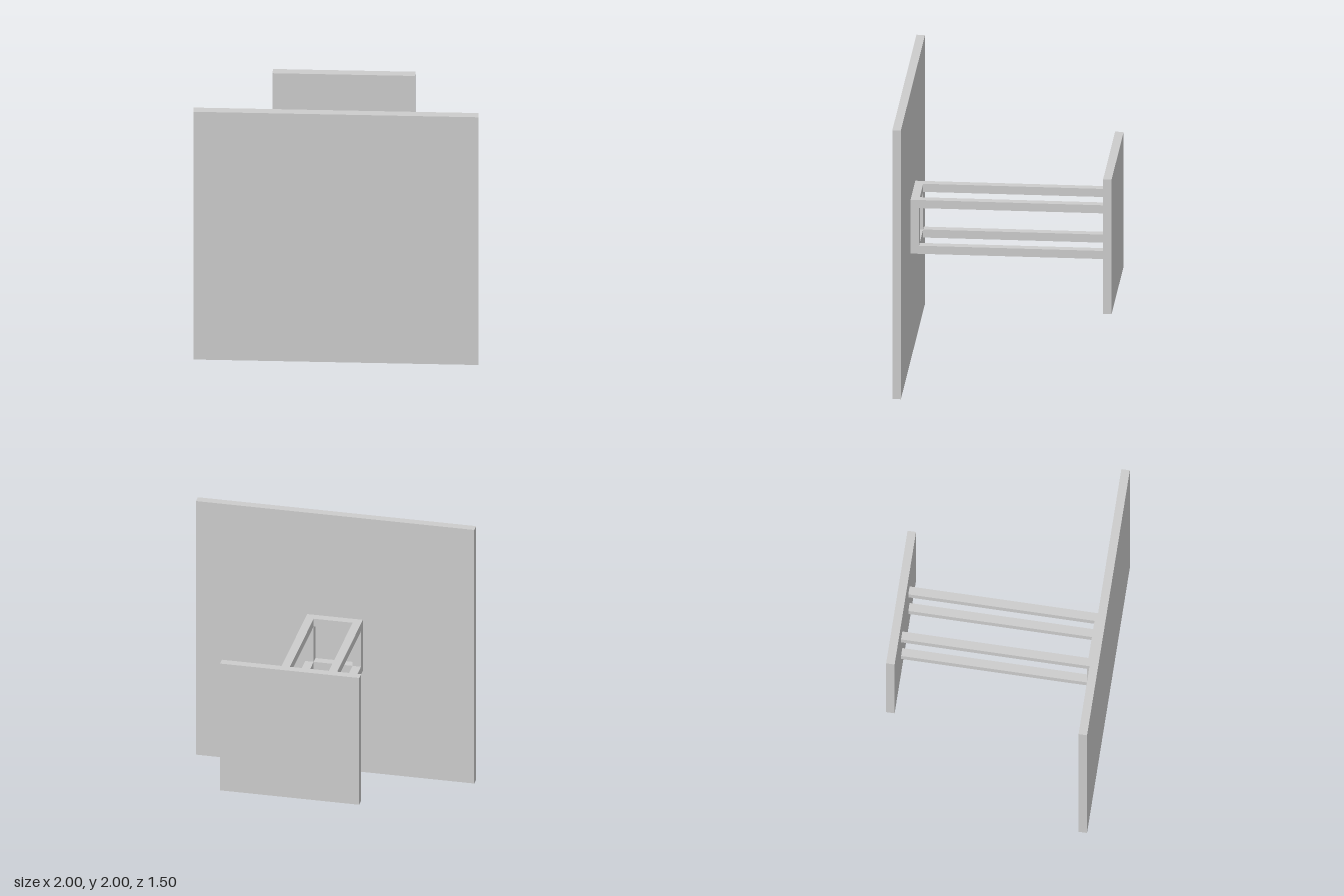
import * as THREE from 'three';

const T = 0.06;        // thickness of panels and bars
const DEPTH = 1.5;     // overall depth
const FRAME = 0.4;     // outer size of the connecting frame
const MID = 1;         // height of the common centre

export function createModel() {
  const model = new THREE.Group();
  const material = new THREE.MeshStandardMaterial({ color: 0xcccccc, flatShading: true });

  const add = (name, geometry, x, y, z) => {
    const mesh = new THREE.Mesh(geometry, material);
    mesh.name = name;
    mesh.position.set(x, y, z);
    model.add(mesh);
  };

  // Large front panel and small back panel
  const panelZ = DEPTH / 2 - T / 2;
  add('frontPanel', new THREE.BoxGeometry(2, 2, T), 0, MID, panelZ);
  add('backPanel', new THREE.BoxGeometry(1, 1, T), 0, MID, -panelZ);

  // Square ring fixed to the back of the front panel
  const square = (Type, h) => new Type([[-h, -h], [h, -h], [h, h], [-h, h]].map(([x, y]) => new THREE.Vector2(x, y)));
  const ring = square(THREE.Shape, FRAME / 2);
  ring.holes.push(square(THREE.Path, FRAME / 2 - T));
  const ringBack = DEPTH / 2 - 2 * T;
  add('mountingRing', new THREE.ExtrudeGeometry(ring, { depth: T, bevelEnabled: false }), 0, MID, ringBack);

  // Four bars joining the ring's corners to the back panel
  const barEnd = -DEPTH / 2 + T;
  const offset = FRAME / 2 - T / 2;
  for (const [sideName, sx] of [['Left', 1], ['Right', -1]]) {
    for (const [levelName, sy] of [['upper', 1], ['lower', -1]]) {
      add(`${levelName}${sideName}Bar`, new THREE.BoxGeometry(T, T, ringBack - barEnd),
        sx * offset, MID + sy * offset, (ringBack + barEnd) / 2);
    }
  }
  return model;
}
